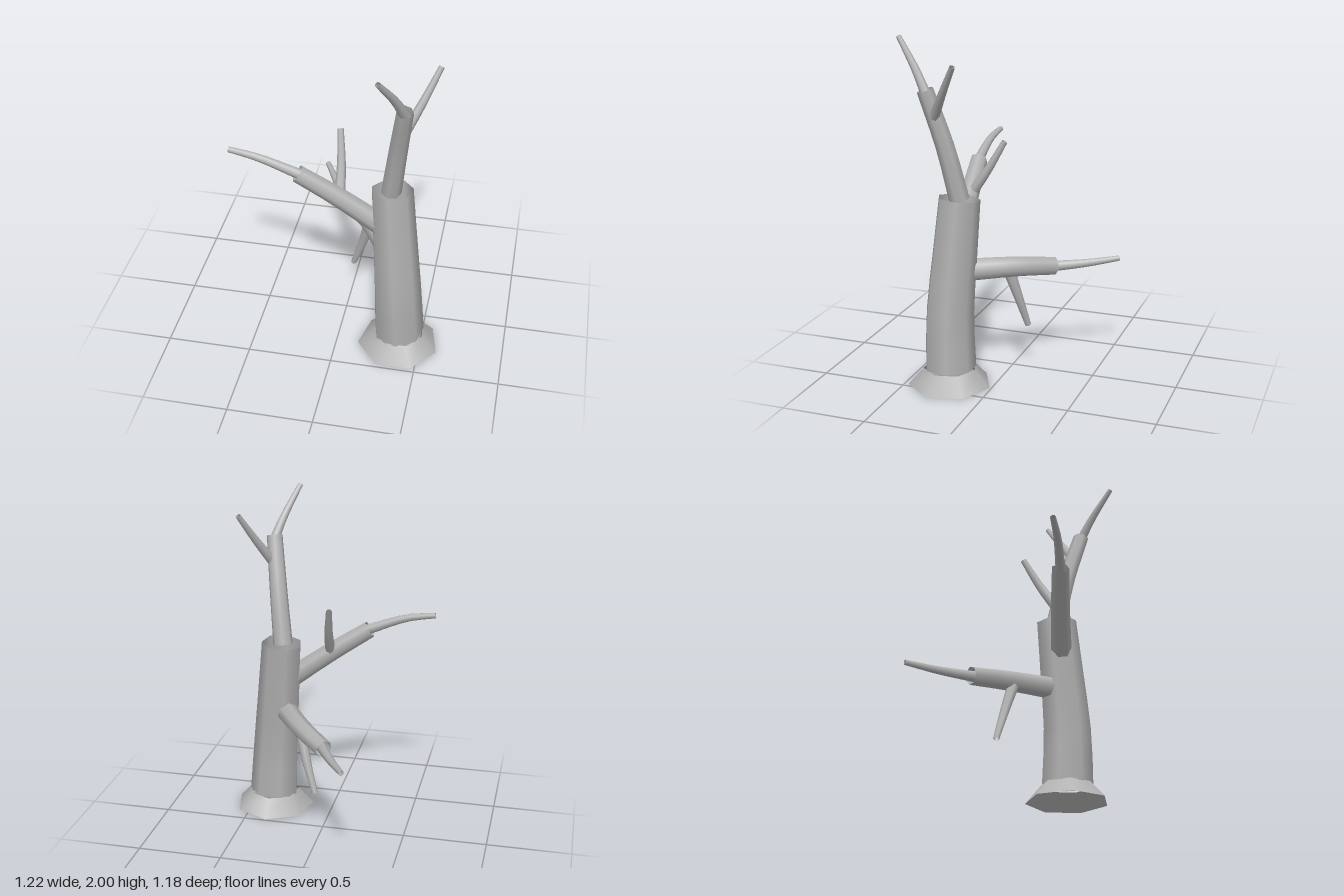
import * as THREE from 'three';

const SIDES = 7;

// Hollow tapered limb along a smooth path, open at both ends
function limb(name, material, points, r0, r1, segments = 6) {
  const curve = new THREE.CatmullRomCurve3(points.map((p) => new THREE.Vector3(...p)));
  const geometry = new THREE.TubeGeometry(curve, segments, 1, SIDES, false);
  const pos = geometry.attributes.position;
  const v = new THREE.Vector3();
  for (let i = 0; i < pos.count; i++) {
    const t = Math.floor(i / (SIDES + 1)) / segments;
    const centre = curve.getPointAt(t);
    v.fromBufferAttribute(pos, i).sub(centre);
    v.multiplyScalar(r0 + (r1 - r0) * t).add(centre);
    pos.setXYZ(i, v.x, v.y, v.z);
  }
  const mesh = new THREE.Mesh(geometry, material);
  mesh.name = name;
  return mesh;
}

export function createModel() {
  const bark = new THREE.MeshStandardMaterial({ color: 0xb2b2b2, side: THREE.DoubleSide });
  bark.name = 'greyBark';
  const tree = new THREE.Group();
  tree.name = 'bareTree';

  // Flared root collar, open above and below
  const collar = new THREE.Mesh(
    new THREE.CylinderGeometry(0.155, 0.245, 0.1, SIDES, 1, true), bark);
  collar.name = 'rootCollar';
  collar.rotation.y = Math.PI;
  collar.position.set(0.37, 0.05, 0.255);
  tree.add(collar);

  // name, path, start radius, end radius
  const limbs = [
    ['trunk', [[0.37, 0.1, 0.255], [0.355, 0.4, 0.262], [0.325, 0.78, 0.238], [0.3, 1.1, 0.215]], 0.152, 0.122],
    // Crown branch and its twigs
    ['crownBranch', [[0.295, 1.09, 0.215], [0.335, 1.4, 0.28], [0.38, 1.72, 0.375]], 0.06, 0.048],
    ['crownTwigFront', [[0.385, 1.68, 0.36], [0.34, 1.82, 0.445], [0.268, 1.99, 0.578]], 0.03, 0.015],
    ['crownTwigBack', [[0.38, 1.57, 0.325], [0.46, 1.72, 0.24], [0.535, 1.88, 0.148]], 0.03, 0.016],
    // Upper side branch and its twigs
    ['upperBranch', [[0.27, 0.86, 0.245], [0.0, 1.055, 0.27], [-0.22, 1.2, 0.297]], 0.065, 0.052],
    ['upperTwigEnd', [[-0.19, 1.19, 0.297], [-0.44, 1.283, 0.305], [-0.61, 1.312, 0.3]], 0.032, 0.017],
    ['upperTwigTop', [[0.01, 1.06, 0.25], [0.0, 1.2, 0.155], [-0.023, 1.37, 0.06]], 0.032, 0.018],
    // Lower back branch and its twigs
    ['lowerBranch', [[0.28, 0.67, 0.2], [0.115, 0.668, -0.055], [-0.06, 0.637, -0.24]], 0.067, 0.053],
    ['lowerTwigEnd', [[-0.04, 0.636, -0.21], [-0.14, 0.648, -0.41], [-0.235, 0.668, -0.585]], 0.033, 0.016],
    ['lowerTwigUnder', [[0.13, 0.65, -0.02], [0.085, 0.47, -0.065], [0.025, 0.28, -0.105]], 0.036, 0.018],
  ];
  for (const [name, path, r0, r1] of limbs) tree.add(limb(name, bark, path, r0, r1));

  return tree;
}
